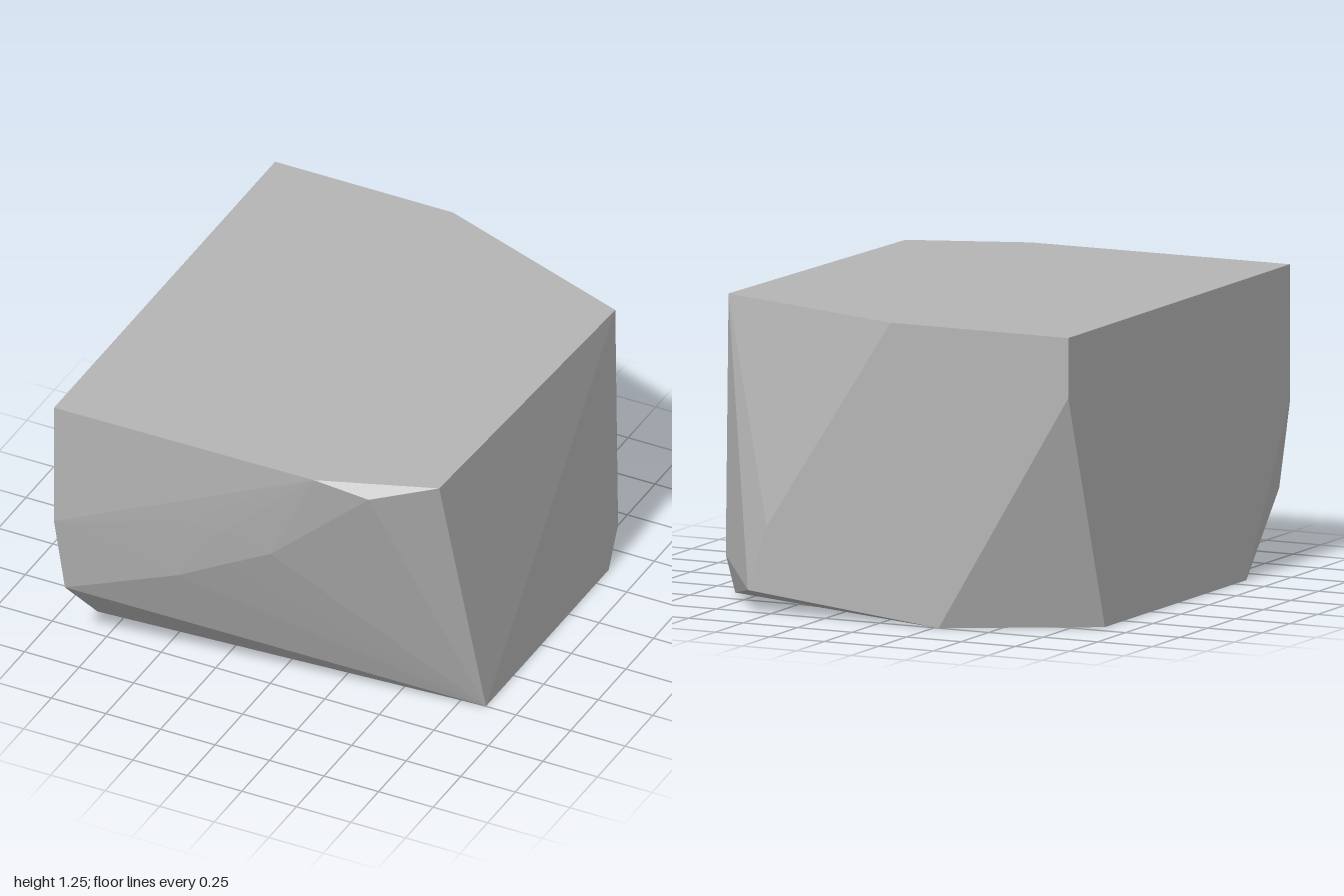
import * as THREE from 'three';
import { ConvexGeometry } from 'three/addons/geometries/ConvexGeometry.js';

export function createModel() {
  const group = new THREE.Group();
  group.name = 'chippedBlock';

  const stone = new THREE.MeshStandardMaterial({ color: 0xb4b4b4, flatShading: true });
  stone.name = 'stone grey';

  // corners of the flat top
  const top = [
    [-0.865, 1.25, -1], [-0.05, 1.25, -1], [0.862, 1.25, -0.67],
    [0.805, 1.25, 0.81], [0.32, 1.25, 0.988], [-0.865, 1.25, 1],
  ];
  // corners of the flat base
  const base = [
    [-0.865, 0, -0.67], [-0.27, 0, -1], [0.862, 0, -0.61],
    [0.862, 0, 0.5], [-0.865, 0, 0.605],
  ];
  // chipped corners at the back
  const backChips = [
    [-0.865, 1.0, -1], [0.605, 0.09, -1], [0.52, 0.36, -1], [0.862, 0.17, -0.695],
  ];
  // worn ridge running diagonally across the front
  const frontWear = [
    [0.55, 1.197, 0.945], [0.1, 0.79, 0.945], [-0.1, 0.68, 0.945],
    [-0.33, 0.55, 0.942], [-0.57, 0.54, 0.955], [-0.845, 0.33, 0.94],
    [-0.1, 0.86, 0.972], [-0.3, 0.86, 0.985], [-0.865, 0.69, 1],
  ];

  const points = [...top, ...base, ...backChips, ...frontWear].map((p) => new THREE.Vector3(...p));
  const block = new THREE.Mesh(new ConvexGeometry(points), stone);
  block.name = 'block';
  group.add(block);
  return group;
}
